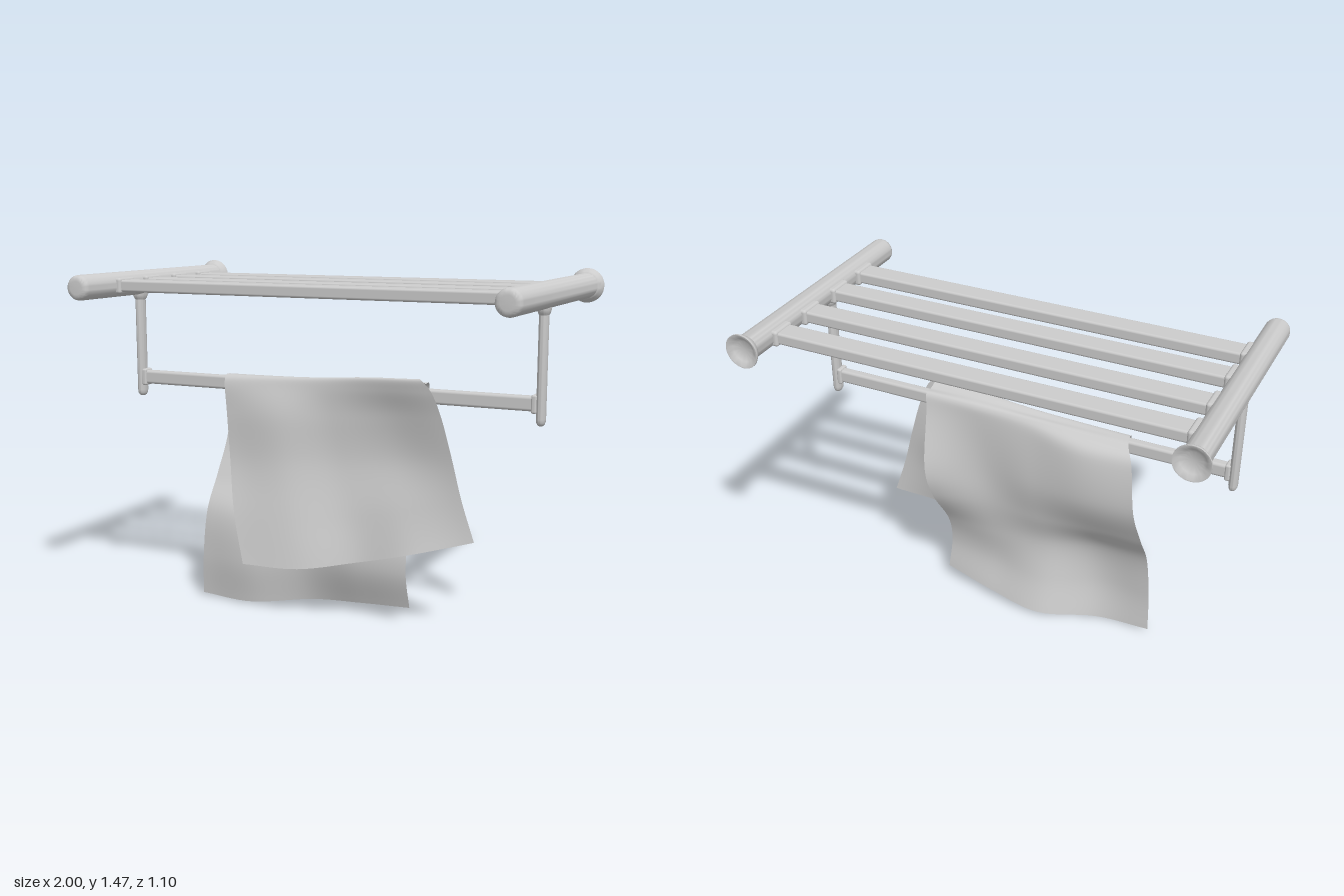
import * as THREE from 'three';
import { toCreasedNormals } from 'three/addons/utils/BufferGeometryUtils.js';
import { RoundedBoxGeometry } from 'three/addons/geometries/RoundedBoxGeometry.js';

const metal = new THREE.MeshStandardMaterial({ color: 0xcccccc });
const cloth = new THREE.MeshStandardMaterial({ color: 0xcccccc, side: THREE.DoubleSide });

function addMesh(parent, name, geometry, x = 0, y = 0, z = 0, material = metal) {
  const mesh = new THREE.Mesh(geometry, material);
  mesh.name = name;
  mesh.position.set(x, y, z);
  parent.add(mesh);
}

function lathe(profile, segments = 32) {
  const points = profile.map(([r, y]) => new THREE.Vector2(r, y));
  return toCreasedNormals(new THREE.LatheGeometry(points, segments), 0.8);
}

// Smooth interpolation through evenly spaced values, t from 0 to 1
function spline(values, t) {
  const n = values.length - 1;
  const i = Math.min(Math.floor(t * n), n - 1);
  const f = t * n - i;
  const b = values[i], c = values[i + 1];
  const a = i > 0 ? values[i - 1] : 2 * b - c;
  const d = i + 2 <= n ? values[i + 2] : 2 * c - b;
  return b + 0.5 * f * (c - a + f * (2 * a - 5 * b + 4 * c - d + f * (3 * (b - c) + d - a)));
}

// Towel rows from the front hem, over the bar, to the back hem:
// x at both edges, y and z at evenly spaced places from left to right
const towelRows = [
  { x: [-0.32, 0.675], y: [0.22, 0.222, 0.268, 0.335, 0.40], z: [0.26, 0.235, 0.18, 0.19, 0.125] },
  { x: [-0.38, 0.62], y: [0.43, 0.45, 0.57], z: [0.225, 0.205, 0.14, 0.145, 0.13] },
  { x: [-0.43, 0.575], y: [0.65, 0.66, 0.74], z: [0.165, 0.175, 0.11, 0.09, 0.13] },
  { x: [-0.455, 0.53], y: [0.85, 0.86, 0.90], z: [0.145, 0.165, 0.12, 0.10, 0.135] },
  { x: [-0.47, 0.49], y: [0.97, 0.98, 1.0], z: [0.135, 0.135, 0.125, 0.125, 0.145] },
  { x: [-0.475, 0.44], y: [1.01, 1.015, 1.025, 1.04, 1.05], z: [0.115, 0.115, 0.115, 0.125, 0.14] },
  { x: [-0.48, 0.44], y: [1.014, 1.014, 1.018, 1.03, 1.025], z: [0.08, 0.08, 0.08, 0.08, 0.085] },
  { x: [-0.495, 0.44], y: [1.0, 1.01, 1.02], z: [0.035, 0.04, 0.045, 0.04, 0.04] },
  { x: [-0.53, 0.43], y: [0.94, 0.94, 0.94], z: [-0.015, -0.02, 0.02, 0.03, 0.015] },
  { x: [-0.555, 0.415], y: [0.73, 0.71, 0.70], z: [-0.03, -0.03, 0.0, 0.03, -0.05] },
  { x: [-0.575, 0.395], y: [0.55, 0.53, 0.54], z: [0.035, 0.04, 0.03, 0.035, -0.025] },
  { x: [-0.585, 0.37], y: [0.40, 0.37, 0.36], z: [0.11, 0.125, 0.07, 0.06, 0.07] },
  { x: [-0.60, 0.37], y: [0.20, 0.19, 0.22], z: [0.125, 0.14, 0.05, 0.07, 0.10] },
  { x: [-0.61, 0.38], y: [0.012, 0.001, 0.017, 0.042, 0.07], z: [0.115, 0.11, 0.005, 0.03, 0.08] },
];

function towelGeometry() {
  const geometry = new THREE.PlaneGeometry(1, 1, 32, 104);
  const pos = geometry.attributes.position;
  const uv = geometry.attributes.uv;
  for (let i = 0; i < pos.count; i++) {
    const u = uv.getX(i), v = uv.getY(i);
    const along = (pick) => spline(towelRows.map(pick), v);
    pos.setXYZ(i,
      along((r) => THREE.MathUtils.lerp(r.x[0], r.x[1], u)),
      along((r) => spline(r.y, u)),
      along((r) => spline(r.z, u)));
  }
  geometry.computeVertexNormals();
  return geometry;
}

export function createModel() {
  const model = new THREE.Group();
  model.name = 'towelShelf';
  const railY = 1.398, slatY = 1.396;

  // Side rail with a hollow wall flange and a rounded front end
  const railGeometry = lathe([
    [0, -0.525], [0.035, -0.527], [0.05, -0.535], [0.068, -0.55], [0.073, -0.55],
    [0.073, -0.543], [0.068, -0.534], [0.062, -0.525], [0.058, -0.518], [0.053, -0.515],
    [0.053, 0.525], [0.051, 0.536], [0.046, 0.544], [0.038, 0.549], [0.028, 0.55], [0, 0.55],
  ], 40).rotateX(Math.PI / 2);

  // Hanger post with rounded foot, and the collar joining it to the rail
  const postGeometry = lathe([
    [0, 0.89], [0.012, 0.891], [0.021, 0.896], [0.027, 0.905], [0.029, 0.918], [0.029, 1.36],
  ]).scale(0.65, 1, 1);
  const collarGeometry = lathe([
    [0.029, 1.322], [0.034, 1.328], [0.041, 1.342], [0.041, 1.365],
  ]).scale(0.66, 1, 1);

  const slatZ = [-0.35, -0.142, 0.079, 0.28];
  const slatGeometry = new RoundedBoxGeometry(1.78, 0.05, 0.096, 3, 0.01);
  const slatCollarGeometry = new RoundedBoxGeometry(0.035, 0.068, 0.115, 3, 0.012);
  const barCollarGeometry = new RoundedBoxGeometry(0.022, 0.074, 0.056, 3, 0.008);

  for (const [side, s] of [['left', 1], ['right', -1]]) {
    addMesh(model, side + 'Rail', railGeometry, s * 0.925, railY, 0);
    addMesh(model, side + 'Post', postGeometry, s * 0.925, 0, 0.09);
    addMesh(model, side + 'PostCollar', collarGeometry, s * 0.925, 0, 0.09);
    addMesh(model, side + 'BarCollar', barCollarGeometry, s * 0.901, 0.977, 0.09);
    for (const z of slatZ) addMesh(model, side + 'SlatCollar', slatCollarGeometry, s * 0.874, slatY, z);
  }

  // Shelf slats and the hanging bar
  for (const z of slatZ) addMesh(model, 'shelfSlat', slatGeometry, 0, slatY, z);
  addMesh(model, 'towelBar', new RoundedBoxGeometry(1.82, 0.06, 0.042, 3, 0.012), 0, 0.977, 0.09);

  // Draped towel
  addMesh(model, 'towel', towelGeometry(), 0, 0, 0, cloth);
  return model;
}
